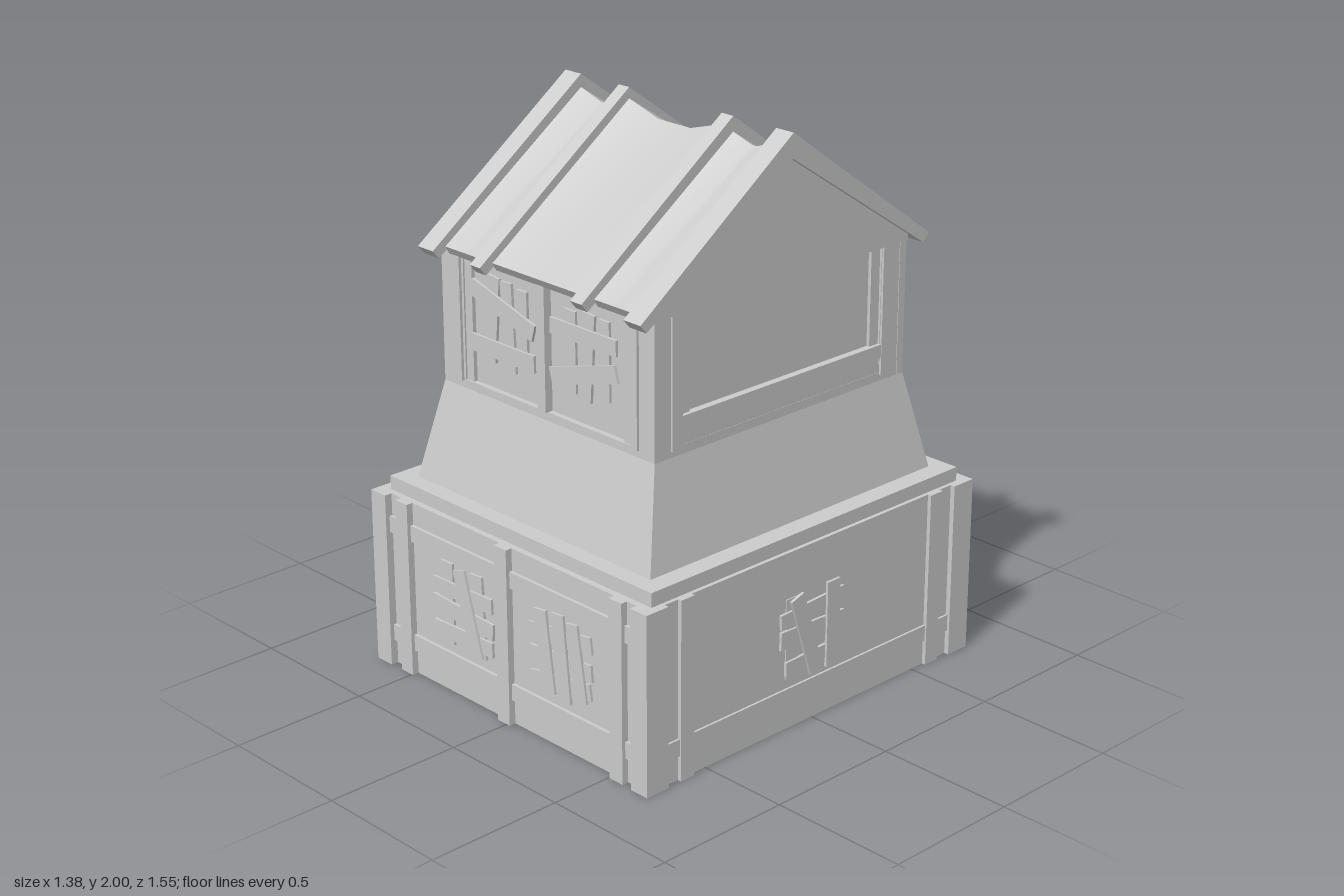
import * as THREE from 'three';

const mat = new THREE.MeshStandardMaterial({ color: 0xcccccc });
const thinMat = new THREE.MeshStandardMaterial({ color: 0xcccccc, side: THREE.DoubleSide });
const rad = THREE.MathUtils.degToRad;

function add(parent, name, geo, x = 0, y = 0, z = 0, material = mat) {
  const m = new THREE.Mesh(geo, material);
  m.name = name;
  m.position.set(x, y, z);
  parent.add(m);
  return m;
}

// box given by its limits on each axis
function block(parent, name, x0, x1, y0, y1, z0, z1) {
  return add(parent, name, new THREE.BoxGeometry(x1 - x0, y1 - y0, z1 - z0),
    (x0 + x1) / 2, (y0 + y1) / 2, (z0 + z1) / 2);
}

const points = (list) => list.map(([x, y]) => new THREE.Vector2(x, y));
const rect = (x0, x1, y0, y1) => points([[x0, y0], [x1, y0], [x1, y1], [x0, y1]]);

// flat panel with holes, its front at z
function panel(parent, name, outline, holes, z, depth) {
  const shape = new THREE.Shape(outline);
  holes.forEach((h) => shape.holes.push(new THREE.Path(h)));
  return add(parent, name, new THREE.ExtrudeGeometry(shape, { depth, bevelEnabled: false }), 0, 0, z - depth);
}

// group whose local +z points out of one side of the building
function side(parent, name, angle) {
  const g = new THREE.Group();
  g.name = name;
  g.rotation.y = angle;
  parent.add(g);
  return g;
}

// boards: x, y, width, height, tilt in degrees, layer
const BOARDS = {
  crossed: [
    [-0.09, 0.0, 0.06, 0.29, 0, 0], [0.0, 0.08, 0.3, 0.055, 3, 1], [0.0, 0.0, 0.3, 0.065, -2, 1],
    [0.0, -0.1, 0.25, 0.05, 2, 1], [0.09, 0.0, 0.06, 0.31, 0, 2], [-0.035, 0.0, 0.06, 0.31, 18, 2],
  ],
  slanted: [
    [-0.09, 0.0, 0.065, 0.3, 0, 0], [0.07, 0.0, 0.06, 0.3, 3, 0], [0.0, 0.06, 0.3, 0.055, 2, 1],
    [0.0, -0.02, 0.31, 0.06, -3, 1], [0.0, -0.1, 0.3, 0.055, 2, 1], [0.035, 0.0, 0.06, 0.31, 16, 2],
  ],
  tilted: [
    [0.0, 0.07, 0.3, 0.06, 8, 0], [0.0, -0.02, 0.3, 0.06, 5, 0], [0.0, -0.1, 0.29, 0.06, 9, 0],
    [-0.07, 0.0, 0.06, 0.29, 8, 1], [0.01, 0.0, 0.06, 0.31, 6, 1], [0.085, 0.01, 0.055, 0.27, 9, 1],
  ],
  upright: [
    [0.0, 0.08, 0.31, 0.055, 2, 0], [0.0, 0.0, 0.31, 0.06, -3, 0], [0.0, -0.09, 0.3, 0.055, 3, 0],
    [-0.09, 0.0, 0.06, 0.3, 2, 1], [0.0, 0.0, 0.06, 0.31, -1, 1], [0.09, 0.0, 0.055, 0.29, 1, 1],
  ],
  fallen: [
    [-0.06, 0.01, 0.055, 0.3, -5, 0], [0.02, 0.0, 0.055, 0.31, 3, 0], [0.09, 0.01, 0.05, 0.27, 0, 0],
    [0.0, -0.09, 0.31, 0.06, 0, 1], [0.0, 0.06, 0.32, 0.06, -16, 1],
  ],
  rising: [
    [-0.07, 0.0, 0.055, 0.28, 0, 0], [0.01, 0.0, 0.055, 0.3, -4, 0], [0.09, 0.01, 0.05, 0.27, 0, 0],
    [0.0, 0.07, 0.31, 0.055, 0, 1], [0.0, -0.06, 0.32, 0.06, 16, 1],
  ],
};

function boardedWindow(parent, pattern, x, y, z) {
  const g = new THREE.Group();
  g.name = 'boardedWindow';
  g.position.set(x, y, z);
  BOARDS[pattern].forEach(([bx, by, w, h, tilt, layer]) => {
    add(g, 'board', new THREE.BoxGeometry(w, h, 0.01), bx, by, 0.004 + layer * 0.008).rotation.z = rad(tilt);
  });
  parent.add(g);
}

const LOW_X = 0.665, LOW_Z = 0.745, LOW_H = 0.64;   // ground floor walls
const UP_X = 0.51, UP_Z = 0.578;                    // upper floor walls
const SHIFT = 0.006;                                // upper parts sit slightly to the left

function groundFloor(root) {
  const windowHole = (x) => rect(x - 0.11, x + 0.11, 0.21, 0.46);

  // front and back: timber grid with two windows each
  [['frontWall', 0, 'slanted', 'tilted'], ['backWall', Math.PI, 'upright', 'tilted']].forEach(([name, a, left, right]) => {
    const g = side(root, name, a);
    panel(g, 'wall', rect(-LOW_X, LOW_X, 0, LOW_H), [windowHole(-0.225), windowHole(0.255)], LOW_Z, 0.05);
    [[-0.225, left], [0.255, right]].forEach(([x, pattern]) => {
      block(g, 'windowPane', x - 0.115, x + 0.115, 0.2, 0.47, LOW_Z - 0.025, LOW_Z - 0.01);
      boardedWindow(g, pattern, x, 0.335, LOW_Z);
    });
    [[0.09, 0.15], [0.5, 0.56]].forEach(([y0, y1]) => block(g, 'rail', -0.61, 0.61, y0, y1, LOW_Z - 0.02, 0.757));
    [[-0.555, -0.495], [-0.045, 0.015], [0.505, 0.565]].forEach(([x0, x1]) =>
      block(g, 'post', x0, x1, 0, LOW_H, LOW_Z - 0.02, 0.77));
  });

  // window side
  const w = side(root, 'windowSideWall', Math.PI / 2);
  panel(w, 'wall', rect(-0.72, 0.72, 0, LOW_H), [windowHole(0.015)], LOW_X, 0.05);
  block(w, 'windowPane', -0.1, 0.13, 0.2, 0.47, LOW_X - 0.025, LOW_X - 0.01);
  boardedWindow(w, 'crossed', -0.012, 0.33, LOW_X - 0.005);
  block(w, 'rail', -0.68, 0.68, 0.09, 0.15, LOW_X - 0.02, 0.673);
  [-0.59, 0.59].forEach((x) => block(w, 'post', x - 0.03, x + 0.03, 0, LOW_H, LOW_X - 0.02, 0.679));

  // door side
  const d = side(root, 'doorSideWall', -Math.PI / 2);
  panel(d, 'wall', points([[-0.72, 0], [-0.16, 0], [-0.16, 0.43], [0.16, 0.43], [0.16, 0], [0.72, 0],
    [0.72, LOW_H], [-0.72, LOW_H]]), [], LOW_X, 0.05);
  [-0.187, 0.187].forEach((x) => block(d, 'doorPost', x - 0.032, x + 0.032, 0, LOW_H, LOW_X - 0.05, 0.69));

  // corner posts
  for (const sx of [-1, 1]) for (const sz of [-1, 1])
    add(root, 'cornerPost', new THREE.BoxGeometry(0.075, LOW_H, 0.095), sx * 0.645, LOW_H / 2, sz * 0.7255);
}

// ledge ring and the hollow sloping skirt between the floors
function skirt(root) {
  const ledge = panel(root, 'ledge', rect(-0.645, 0.645, -0.722, 0.722), [rect(-0.57, 0.57, -0.655, 0.655)], 0.05, 0.05);
  ledge.rotation.x = -Math.PI / 2;
  ledge.position.set(SHIFT, LOW_H, 0);

  const ring = new THREE.CylinderGeometry(1, 1, 0.36, 4, 1, true).rotateY(Math.PI / 4);
  const p = ring.attributes.position;
  for (let i = 0; i < p.count; i++) {
    const top = p.getY(i) > 0;
    p.setX(i, Math.sign(p.getX(i)) * (top ? UP_X : 0.575));
    p.setZ(i, Math.sign(p.getZ(i)) * (top ? UP_Z : 0.66));
  }
  const geo = ring.toNonIndexed();
  geo.computeVertexNormals();
  add(root, 'skirt', geo, SHIFT, 0.86, 0, thinMat);
}

function upperFloor(root) {
  const eave = 1.533;
  const gable = (w) => points([[-w, 1.03], [w, 1.03], [w, eave], [0, 1.915], [-w, eave]]);
  const floor = new THREE.Group();
  floor.name = 'upperFloor';
  floor.position.x = SHIFT;
  root.add(floor);

  // core behind the frames
  const core = side(floor, 'upperCore', Math.PI / 2);
  panel(core, 'core', gable(UP_Z - 0.02), [], 0.488, 0.976);

  // front and back frames with two windows each
  [['upperFront', 0], ['upperBack', Math.PI]].forEach(([name, a]) => {
    const g = side(floor, name, a);
    panel(g, 'frame', rect(-UP_X, UP_X, 1.03, 1.52), [rect(-0.4, 0.4, 1.07, 1.5)], UP_Z, 0.03);
    [-0.385, 0.385].forEach((x) => block(g, 'innerPost', x - 0.02, x + 0.02, 1.07, 1.51, 0.55, 0.572));
    [-0.425, 0.425].forEach((x) => block(g, 'post', x - 0.015, x + 0.015, 1.065, 1.51, 0.55, 0.588));
    block(g, 'centrePost', -0.03, 0.01, 1.07, 1.51, 0.55, 0.588);
    boardedWindow(g, 'fallen', -0.2, 1.31, 0.57);
    boardedWindow(g, 'rising', 0.19, 1.31, 0.57);
  });

  // gable ends: recessed field between posts, two rails below, triangle above
  [['gablePlain', Math.PI / 2], ['gableBoarded', -Math.PI / 2]].forEach(([name, a]) => {
    const g = side(floor, name, a);
    panel(g, 'frame', gable(UP_Z), [rect(-0.46, 0.46, 1.07, 1.512)], UP_X - 0.002, 0.025);
    panel(g, 'triangle', points([[-UP_Z, 1.512], [UP_Z, 1.512], [UP_Z, eave], [0, 1.915], [-UP_Z, eave]]), [], 0.516, 0.02);
    [-0.484, 0.484].forEach((x) => block(g, 'post', x - 0.022, x + 0.022, 1.06, 1.512, 0.49, 0.516));
    [-0.44, 0.44].forEach((x) => block(g, 'innerPost', x - 0.022, x + 0.022, 1.06, 1.512, 0.48, 0.5));
    block(g, 'lowerRail', -0.465, 0.465, 1.06, 1.12, 0.48, 0.507);
    block(g, 'upperRail', -0.465, 0.465, 1.12, 1.17, 0.48, 0.514);
    if (name === 'gableBoarded') boardedWindow(g, 'tilted', 0, 1.3, 0.492);
  });
}

function roof(root) {
  // chevron rafters
  const chevron = points([[0, 2], [0.66, 1.525], [0.635, 1.495], [0, 1.915], [-0.635, 1.495], [-0.66, 1.525]]);
  const g = side(root, 'rafters', Math.PI / 2);
  [[-0.524, -0.447], [-0.26, -0.21], [0.222, 0.275], [0.465, 0.541]].forEach(([x0, x1]) =>
    panel(g, 'rafter', chevron, [], x1, x1 - x0));

  // sagging sheets: ridge height follows a dip, the eave stays level
  const sheets = [
    [[-0.45, 1.955], [-0.345, 1.922], [-0.33, 1.922], [-0.255, 1.95]],
    [[-0.215, 1.963], [-0.07, 1.92], [0.08, 1.92], [0.225, 1.963]],
    [[0.27, 1.95], [0.36, 1.922], [0.38, 1.922], [0.47, 1.955]],
  ];
  for (const profile of sheets) for (const s of [0, 1]) {
    const geo = new THREE.BoxGeometry(3, 1, 1, 3, 1, 1);
    const p = geo.attributes.position;
    for (let i = 0; i < p.count; i++) {
      const k = Math.round(p.getX(i) + 1.5);
      const [x, y] = profile[s ? 3 - k : k];
      const top = p.getY(i) > 0, atEave = p.getZ(i) > 0;
      p.setXYZ(i, s ? -x : x, atEave ? (top ? 1.53 : 1.5) : y - (top ? 0 : 0.03), atEave ? (top ? 0.607 : 0.587) : 0);
    }
    geo.computeVertexNormals();
    add(root, 'roofSheet', geo).rotation.y = s * Math.PI;
  }
}

export function createModel() {
  const root = new THREE.Group();
  root.name = 'boardedTowerHouse';
  groundFloor(root);
  skirt(root);
  upperFloor(root);
  roof(root);
  return root;
}
